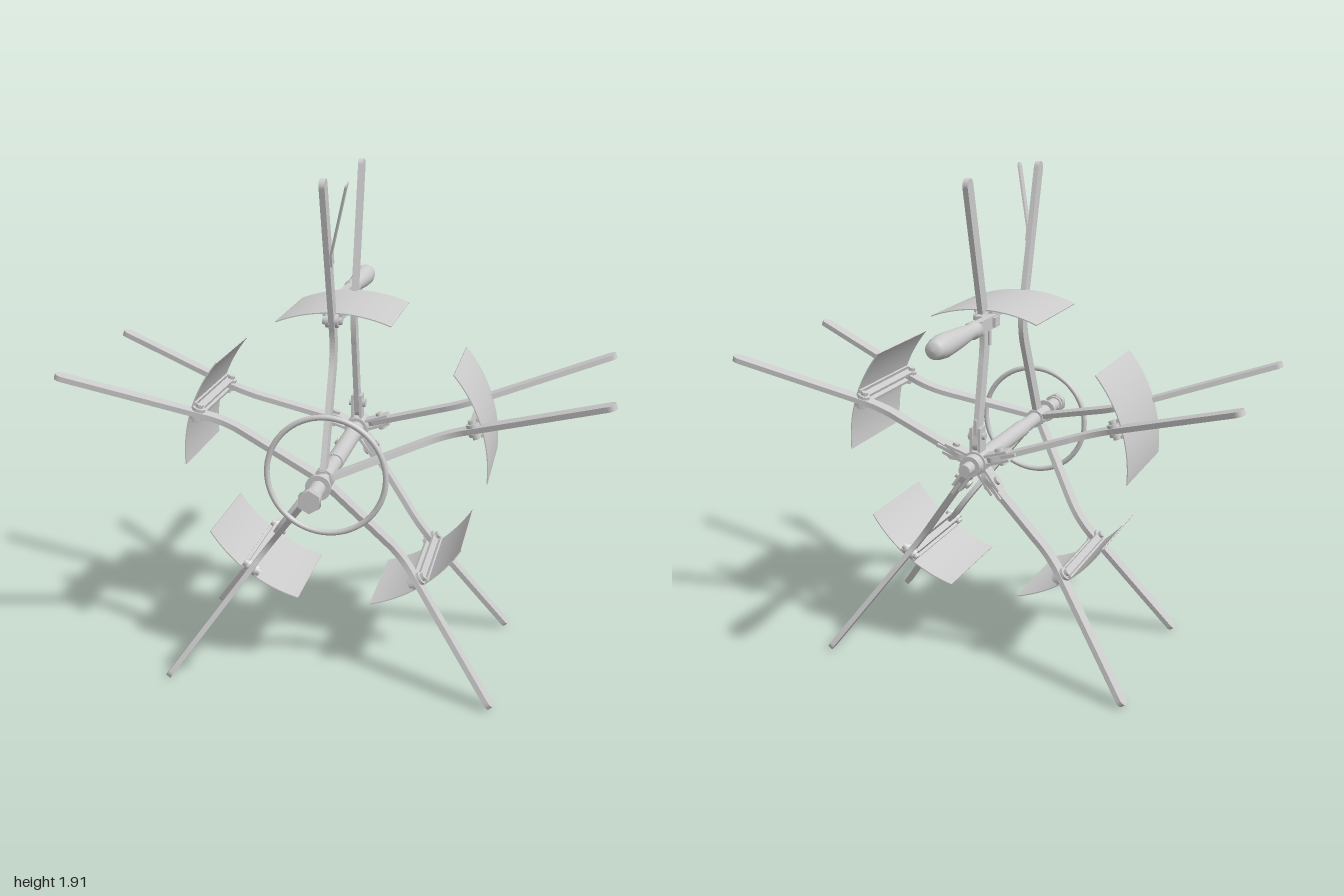
import * as THREE from 'three';

const grey = new THREE.MeshStandardMaterial({ color: 0xcccccc, side: THREE.DoubleSide });
const HUB_Y = 0.857;
const V = (x, y) => new THREE.Vector2(x, y);

function add(parent, name, geometry, x = 0, y = 0, z = 0) {
  const mesh = new THREE.Mesh(geometry, grey);
  mesh.name = name;
  mesh.position.set(x, y, z);
  parent.add(mesh);
  return mesh;
}

const box = (w, h, d) => new THREE.BoxGeometry(w, h, d);
const rodX = (r, len, sides = 20) => new THREE.CylinderGeometry(r, r, len, sides).rotateZ(Math.PI / 2);
const rodZ = (r, len, sides = 28) => new THREE.CylinderGeometry(r, r, len, sides).rotateX(Math.PI / 2);

// Flat bar with rounded ends following a path of (z, radius) points
function flatBar(points, width, thickness) {
  const left = [], right = [], h = width / 2, n = points.length;
  const dirs = points.map((p, i) =>
    points[Math.min(i + 1, n - 1)].clone().sub(points[Math.max(i - 1, 0)]).normalize());
  points.forEach((p, i) => {
    const normal = V(-dirs[i].y, dirs[i].x).multiplyScalar(h);
    left.push(p.clone().add(normal));
    right.push(p.clone().sub(normal));
  });
  const cap = (p, dir) => {
    const base = Math.atan2(dir.y, dir.x) + Math.PI / 2, arc = [];
    for (let i = 1; i < 10; i++) {
      const a = base - (i / 10) * Math.PI;
      arc.push(V(p.x + h * Math.cos(a), p.y + h * Math.sin(a)));
    }
    return arc;
  };
  const outline = [...left, ...cap(points[n - 1], dirs[n - 1]),
    ...right.reverse(), ...cap(points[0], dirs[0].clone().negate())];
  return new THREE.ExtrudeGeometry(new THREE.Shape(outline), { depth: thickness, bevelEnabled: false })
    .translate(0, 0, -thickness / 2).rotateY(-Math.PI / 2);
}

// Straight inner leg, smooth elbow, straight outer leg
function armPath(inner, bendIn, elbow, bendOut, tip) {
  return [inner, ...new THREE.QuadraticBezierCurve(bendIn, elbow, bendOut).getPoints(12), tip];
}

// Thin curved paddle concentric with the shaft
function paddleGeometry(outer, inner, halfAngle, length) {
  const shape = new THREE.Shape();
  shape.absarc(0, 0, outer, Math.PI / 2 - halfAngle, Math.PI / 2 + halfAngle, false);
  shape.absarc(0, 0, inner, Math.PI / 2 + halfAngle, Math.PI / 2 - halfAngle, true);
  return new THREE.ExtrudeGeometry(shape, { depth: length, bevelEnabled: false, curveSegments: 24 });
}

// One sector: local y points outward from the shaft
function spokeUnit() {
  const unit = new THREE.Group();
  unit.name = 'spokeUnit';
  add(unit, 'frontArm', flatBar(
    armPath(V(0.435, 0.03), V(0.285, 0.35), V(0.245, 0.435), V(0.275, 0.52), V(0.423, 1.025)), 0.05, 0.02));
  add(unit, 'backArm', flatBar(
    armPath(V(-0.2, 0.07), V(-0.138, 0.36), V(-0.115, 0.44), V(-0.13, 0.52), V(-0.268, 1.025)), 0.05, 0.02));
  add(unit, 'paddle', paddleGeometry(0.566, 0.562, 0.38, 0.42), 0, 0, -0.14);

  // Paired rails clamp the two arms and carry the paddle
  for (const side of [-1, 1]) {
    add(unit, 'crossRail', box(0.012, 0.036, 0.42), side * 0.017, 0.543, 0.07);
    add(unit, 'railFlange', box(0.02, 0.008, 0.42), side * 0.026, 0.557, 0.07);
    for (const z of [0.28, -0.135]) {
      add(unit, 'railEnd', rodX(0.024, 0.012), side * 0.017, 0.537, z);
      add(unit, 'railBolt', rodX(0.014, 0.018, 6), side * 0.027, 0.537, z);
    }
    // Fork that hinges the back arm on the hub
    add(unit, 'forkCheek', box(0.01, 0.1, 0.055), side * 0.016, 0.085, -0.193);
  }
  add(unit, 'forkBolt', rodX(0.013, 0.066, 16), 0, 0.1, -0.193);
  add(unit, 'forkNut', rodX(0.018, 0.012, 6), 0.027, 0.1, -0.193);
  add(unit, 'forkTail', box(0.012, 0.09, 0.016), 0, 0.12, -0.21);
  return unit;
}

export function createModel() {
  const model = new THREE.Group();
  model.name = 'paddleReel';
  const reel = new THREE.Group();
  reel.name = 'reel';
  reel.position.y = HUB_Y;
  model.add(reel);

  for (let i = 0; i < 5; i++) {
    const unit = spokeUnit();
    unit.rotation.z = (i * 2 * Math.PI) / 5;
    reel.add(unit);
  }

  // Shaft with its collars and end fittings
  add(reel, 'shaft', rodZ(0.028, 0.9), 0, 0, 0.195);
  add(reel, 'shaftSleeve', rodZ(0.033, 0.44), 0, 0, 0.04);
  add(reel, 'frontHub', rodZ(0.037, 0.05), 0, 0, 0.425);
  add(reel, 'frontCollar', rodZ(0.046, 0.012), 0, 0, 0.53);
  add(reel, 'frontNut', rodZ(0.042, 0.03, 6), 0, 0, 0.662);
  add(reel, 'frontWasher', rodZ(0.034, 0.012), 0, 0, 0.641);
  add(reel, 'backHub', rodZ(0.046, 0.075), 0, 0, -0.19);
  add(reel, 'backCollar', rodZ(0.04, 0.04), 0, 0, -0.25);
  add(reel, 'backStub', rodZ(0.023, 0.07), 0, 0, -0.285);
  add(reel, 'frontPin', rodX(0.009, 0.062, 12), 0, 0, 0.615);
  add(reel, 'backPin', rodX(0.01, 0.086, 12), 0, 0, -0.25);

  // Ring resting on the front arms
  add(reel, 'handRing', new THREE.TorusGeometry(0.217, 0.0105, 14, 72), 0, 0, 0.405);

  // Bent strip near the tip of the top front arm
  const clip = new THREE.Group();
  clip.name = 'tipClip';
  clip.position.set(0.013, 0.76, 0.346);
  clip.rotation.x = 0.285;
  reel.add(clip);
  add(clip, 'clipFoot', box(0.008, 0.05, 0.036), 0, 0.012, 0);
  const blade = add(clip, 'clipBlade', flatBar([V(0, 0), V(0, 0.255)], 0.036, 0.007), 0, 0.03, 0);
  blade.rotation.z = -0.26;

  // Crank bar and turned grip
  const crank = new THREE.Group();
  crank.name = 'crankHandle';
  crank.position.set(-0.05, 0.535, 0);
  reel.add(crank);
  add(crank, 'crankBar', box(0.03, 0.046, 0.14), 0, 0, -0.235);
  add(crank, 'crankBracket', box(0.08, 0.036, 0.045), 0.015, 0, -0.18);
  add(crank, 'crankPin', new THREE.CylinderGeometry(0.006, 0.006, 0.09, 12), 0, -0.04, -0.195);
  const profile = [[0, 0.3], [0.014, 0.3], [0.022, 0.318], [0.022, 0.325], [0.032, 0.327], [0.032, 0.358],
    [0.027, 0.36], [0.029, 0.4], [0.035, 0.47], [0.04, 0.55], [0.042, 0.6], [0.038, 0.64],
    [0.031, 0.658], [0.032, 0.666], [0.024, 0.678], [0, 0.682]];
  add(crank, 'grip', new THREE.LatheGeometry(profile.map(([r, d]) => V(r, d)), 32).rotateX(-Math.PI / 2));

  return model;
}
